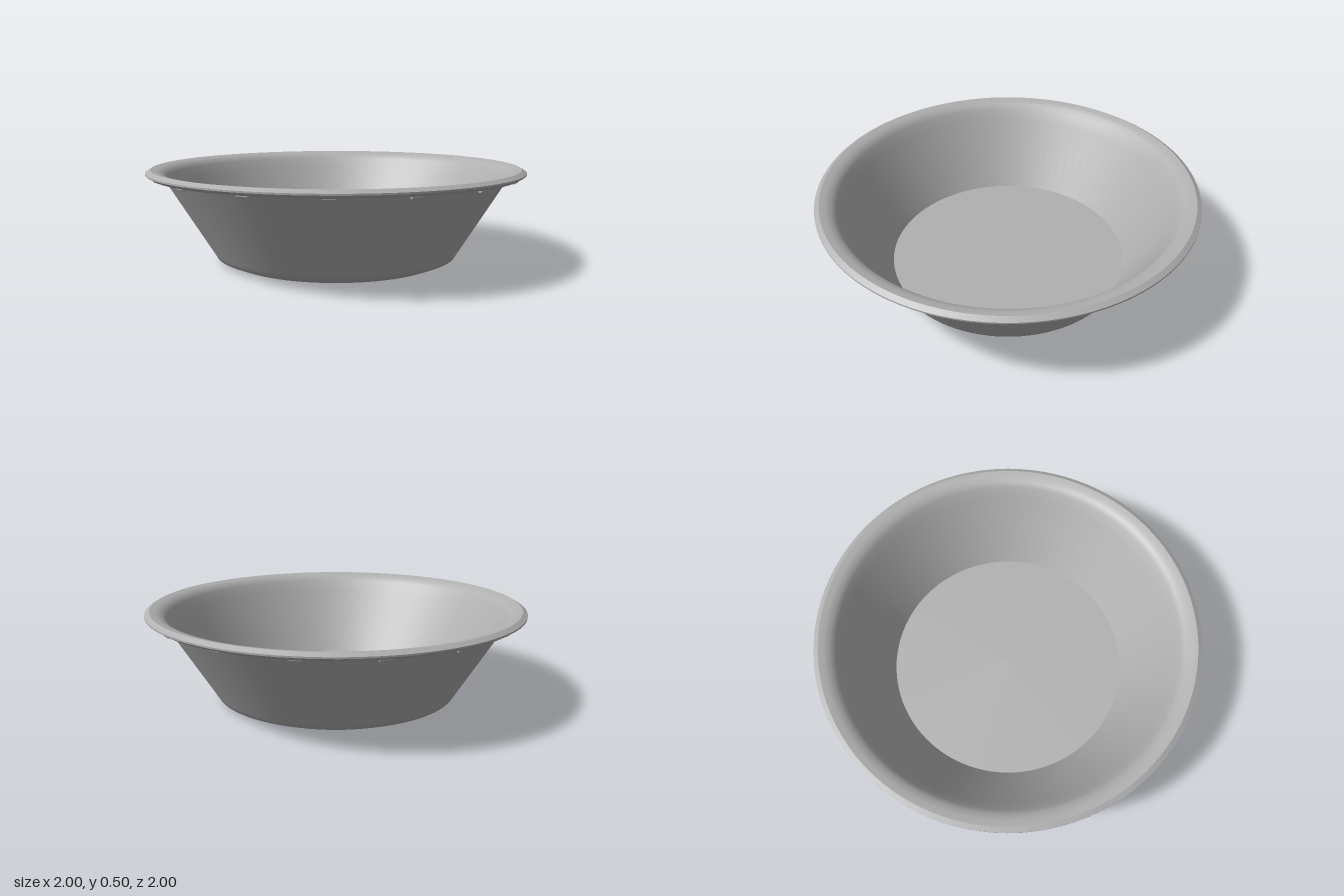
import * as THREE from 'three';

const SEGMENTS = 96;

export function createModel() {
  const basin = new THREE.Group();
  basin.name = 'basin';
  const metal = new THREE.MeshStandardMaterial({ color: 0xb0b0b0 });
  metal.name = 'grey metal';

  // One smooth surface of revolution; edges between separate turns stay sharp
  const turn = (name, points) => {
    const profile = points.map(([r, y]) => new THREE.Vector2(r, y));
    const mesh = new THREE.Mesh(new THREE.LatheGeometry(profile, SEGMENTS), metal);
    mesh.name = name;
    basin.add(mesh);
  };

  // Outside: flat base, softened lower edge and flared wall
  turn('outerShell', [[0, 0.003], [0.56, 0.003], [0.585, 0.005], [0.648, 0.032], [0.665, 0.06], [0.912, 0.464]]);

  // Rim: flat underside and bevelled outer edge
  turn('rimUnderside', [[0.912, 0.464], [0.975, 0.464]]);
  turn('rimLowerBevel', [[0.975, 0.464], [1, 0.48]]);
  turn('rimEdge', [[1, 0.48], [1, 0.488]]);
  turn('rimUpperBevel', [[1, 0.488], [0.975, 0.503]]);

  // Inside: the lip rolls over smoothly into the wall, down to a flat floor
  turn('innerWall', [[0.975, 0.503], [0.945, 0.497], [0.915, 0.486], [0.892, 0.462], [0.86, 0.41], [0.64, 0.05]]);
  turn('floor', [[0.64, 0.05], [0, 0.05]]);

  // Small round pegs under the rim
  const pegGeometry = new THREE.CylinderGeometry(0.01, 0.01, 0.055, 12).rotateZ(Math.PI / 2);
  for (let i = 0; i < 16; i++) {
    const angle = (i / 16) * Math.PI * 2;
    const peg = new THREE.Mesh(pegGeometry, metal);
    peg.name = 'rimPeg';
    peg.position.set(Math.sin(angle) * 0.957, 0.461, Math.cos(angle) * 0.957);
    peg.rotation.y = angle;
    basin.add(peg);
  }

  return basin;
}
